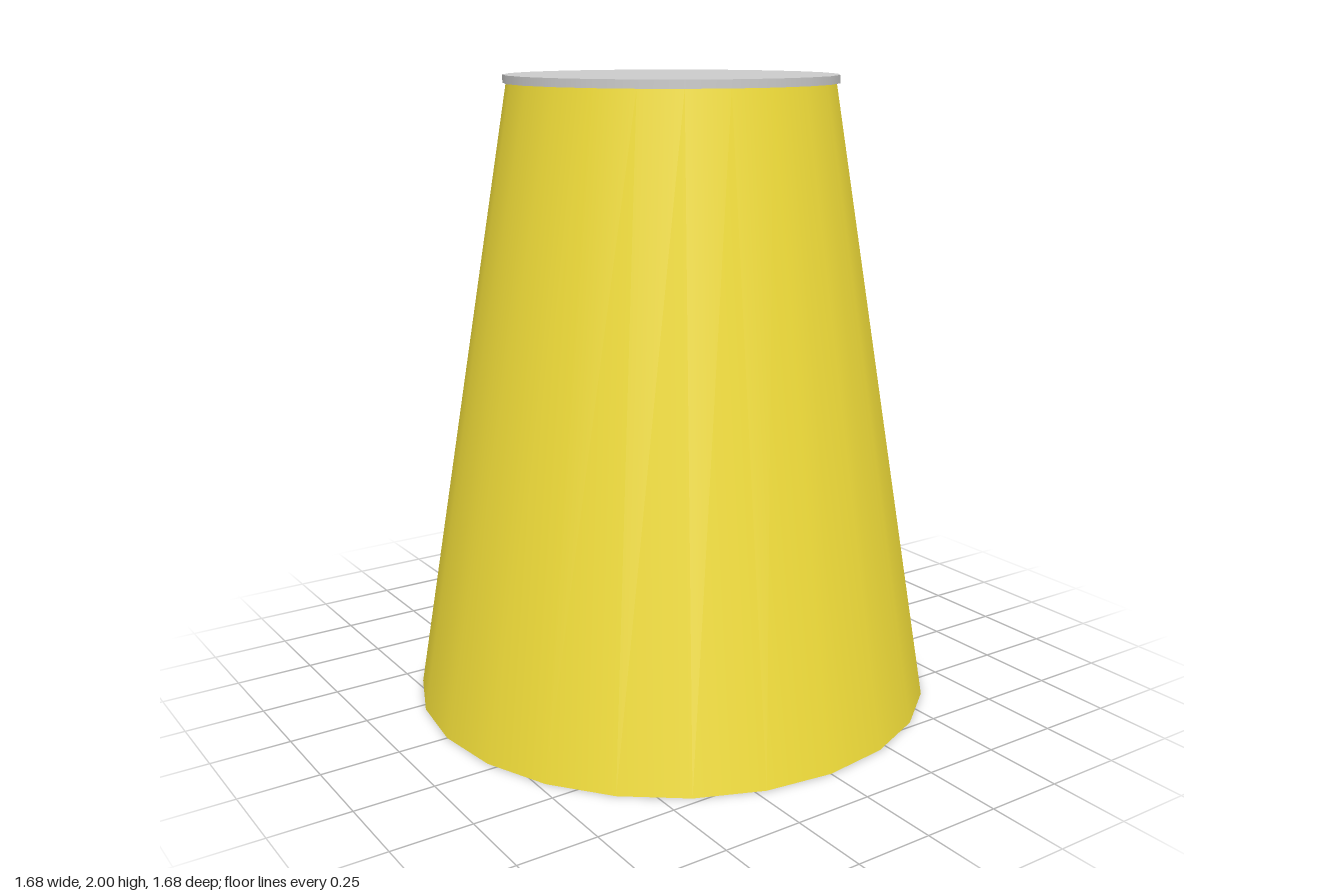
import * as THREE from 'three';

const SIDES = 24;
const CAP_Y = 1.975;   // underside of the lid

export function createModel() {
  const group = new THREE.Group();
  const grey = new THREE.MeshStandardMaterial({ color: 0xcccccc });
  const yellow = new THREE.MeshStandardMaterial({ color: 0xf2de3a });
  const yellowInside = new THREE.MeshStandardMaterial({ color: 0xf2de3a, side: THREE.BackSide });

  const add = (name, geometry, material, parent = group) => {
    const mesh = new THREE.Mesh(geometry, material);
    mesh.name = name;
    parent.add(mesh);
    return mesh;
  };

  // Hollow tapered shell: outer wall, inner wall and bottom rim
  const shell = new THREE.Group();
  shell.name = 'shell';
  group.add(shell);
  const wall = (top, bottom) =>
    new THREE.CylinderGeometry(top, bottom, CAP_Y, SIDES, 1, true).translate(0, CAP_Y / 2, 0);
  add('outerWall', wall(0.51, 0.84), yellow, shell);
  add('innerWall', wall(0.49, 0.82), yellowInside, shell);
  add('bottomRim', new THREE.RingGeometry(0.82, 0.84, SIDES, 1).rotateX(Math.PI / 2), yellow, shell);

  // Flat lid, slightly wider than the top of the shell
  const lidHeight = 2 - CAP_Y;
  add('lid', new THREE.CylinderGeometry(0.52, 0.52, lidHeight, SIDES), grey)
    .position.y = CAP_Y + lidHeight / 2;

  // Tapered slab standing inside, slightly turned from the z axis
  const thickness = 0.065;
  const outline = new THREE.Shape([
    new THREE.Vector2(-0.75, 0),
    new THREE.Vector2(0.75, 0),
    new THREE.Vector2(0.48, CAP_Y),
    new THREE.Vector2(-0.48, CAP_Y),
  ]);
  const slab = new THREE.ExtrudeGeometry(outline, { depth: thickness, bevelEnabled: false });
  slab.translate(0, 0, -thickness / 2);
  add('innerSlab', slab, grey).rotation.y = THREE.MathUtils.degToRad(84);

  return group;
}
